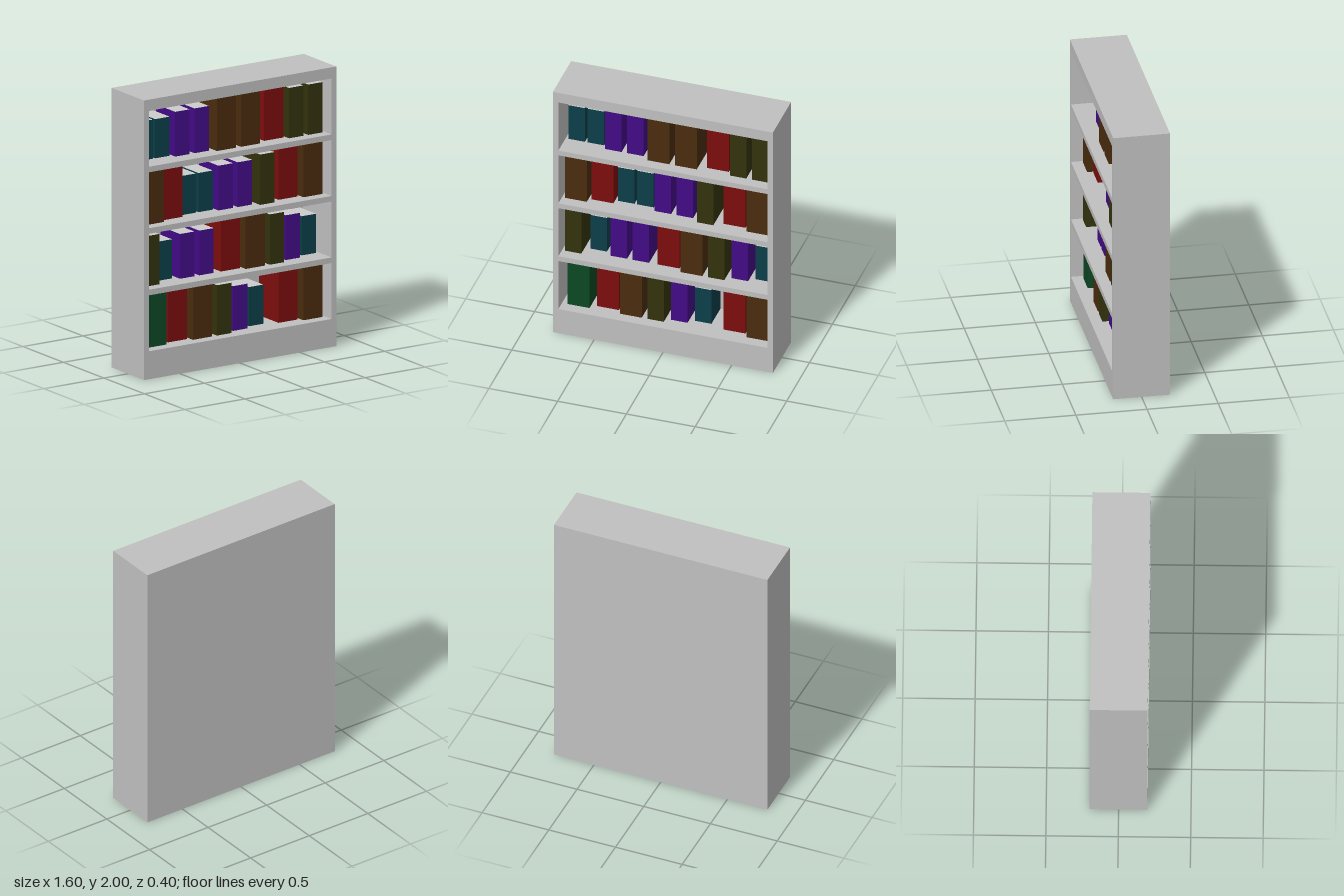
import * as THREE from 'three';

// Box faces in BoxGeometry order
const RIGHT = 0, LEFT = 1, TOP = 2, BOTTOM = 3, FRONT = 4, BACK = 5;

// A box made of only the chosen faces, resting on y = 0; the top uses material 1
function partialBox(w, h, d, faces) {
  const geo = new THREE.BoxGeometry(w, h, d);
  const source = geo.index.array;
  const index = [];
  geo.clearGroups();
  faces.forEach((f) => {
    geo.addGroup(index.length, 6, f === TOP ? 1 : 0);
    index.push(...source.slice(f * 6, f * 6 + 6));
  });
  geo.setIndex(index);
  geo.translate(0, h / 2, 0);
  return geo;
}

function rectangle(path, x0, y0, x1, y1) {
  path.moveTo(x0, y0);
  path.lineTo(x1, y0);
  path.lineTo(x1, y1);
  path.lineTo(x0, y1);
  path.closePath();
  return path;
}

function material(name, color, side = THREE.FrontSide) {
  const m = new THREE.MeshStandardMaterial({ color, side });
  m.name = name;
  return m;
}

export function createModel() {
  const group = new THREE.Group();
  group.name = 'bookcase';
  const grey = material('grey cabinet', 0xc0c0c0, THREE.DoubleSide);
  const pages = material('pale pages', 0xcccccc);

  // Kinds of book: colour, width, height and z of the spine
  const kinds = {
    teal: { mat: material('teal cover', 0x0c3f49), w: 0.12, h: 0.28, z: 0.04 },
    purple: { mat: material('purple cover', 0x430b87), w: 0.12, h: 0.32, z: 0.08 },
    olive: { mat: material('olive cover', 0x33330d), w: 0.12, h: 0.36, z: 0.12 },
    red: { mat: material('red cover', 0x7c0d0d), w: 0.16, h: 0.4, z: 0.08 },
    brown: { mat: material('brown cover', 0x4a2c0e), w: 0.16, h: 0.4, z: 0.12 },
    green: { mat: material('green cover', 0x0c4724), w: 0.16, h: 0.4, z: 0.12 },
  };

  // Shelves from the bottom up: kind and left edge of every book
  const shelves = [
    [['green', -0.72], ['red', -0.52], ['brown', -0.34], ['olive', -0.14],
      ['purple', 0.02], ['teal', 0.18], ['red', 0.4], ['brown', 0.58]],
    [['olive', -0.74], ['teal', -0.58], ['purple', -0.42], ['purple', -0.26], ['red', -0.08],
      ['brown', 0.1], ['olive', 0.3], ['purple', 0.46], ['teal', 0.62]],
    [['brown', -0.74], ['red', -0.56], ['teal', -0.38], ['teal', -0.24], ['purple', -0.1],
      ['purple', 0.06], ['olive', 0.22], ['red', 0.4], ['brown', 0.58]],
    [['teal', -0.74], ['teal', -0.6], ['purple', -0.46], ['purple', -0.3], ['brown', -0.14],
      ['brown', 0.06], ['red', 0.28], ['olive', 0.46], ['olive', 0.62]],
  ];
  const shelfY = (i) => 0.2 + 0.44 * i;
  const openingHeight = 0.4;
  const backZ = -0.16;

  function add(name, geo, mat, x, y, z) {
    const mesh = new THREE.Mesh(geo, mat);
    mesh.name = name;
    mesh.position.set(x, y, z);
    group.add(mesh);
  }

  // Hollow outer case, open underneath
  add('outerCase', partialBox(1.6, 2, 0.4, [RIGHT, LEFT, TOP, BACK]), [grey, grey], 0, 0, 0);

  // Front frame with one opening per shelf
  const frame = rectangle(new THREE.Shape(), -0.8, 0, 0.8, 2);
  shelves.forEach((_, i) => {
    const y = shelfY(i);
    frame.holes.push(rectangle(new THREE.Path(), -0.76, y, 0.76, y + openingHeight));
  });
  add('frontFrame', new THREE.ShapeGeometry(frame), grey, 0, 0, 0.2);

  shelves.forEach((books, i) => {
    const y = shelfY(i);

    // Recess behind the opening
    const depth = 0.2 - backZ;
    const recess = partialBox(1.52, openingHeight, depth, [RIGHT, LEFT, TOP, BOTTOM, BACK]);
    add('shelfRecess', recess, [grey, grey], 0, y, backZ + depth / 2);

    // Books stand against the back of the recess
    books.forEach(([kind, x]) => {
      const { mat, w, h, z } = kinds[kind];
      const faces = [RIGHT, LEFT, FRONT];
      if (h < openingHeight) faces.push(TOP);
      add(kind + 'Book', partialBox(w, h, z - backZ, faces), [mat, pages], x + w / 2, y, (z + backZ) / 2);
    });
  });

  return group;
}
